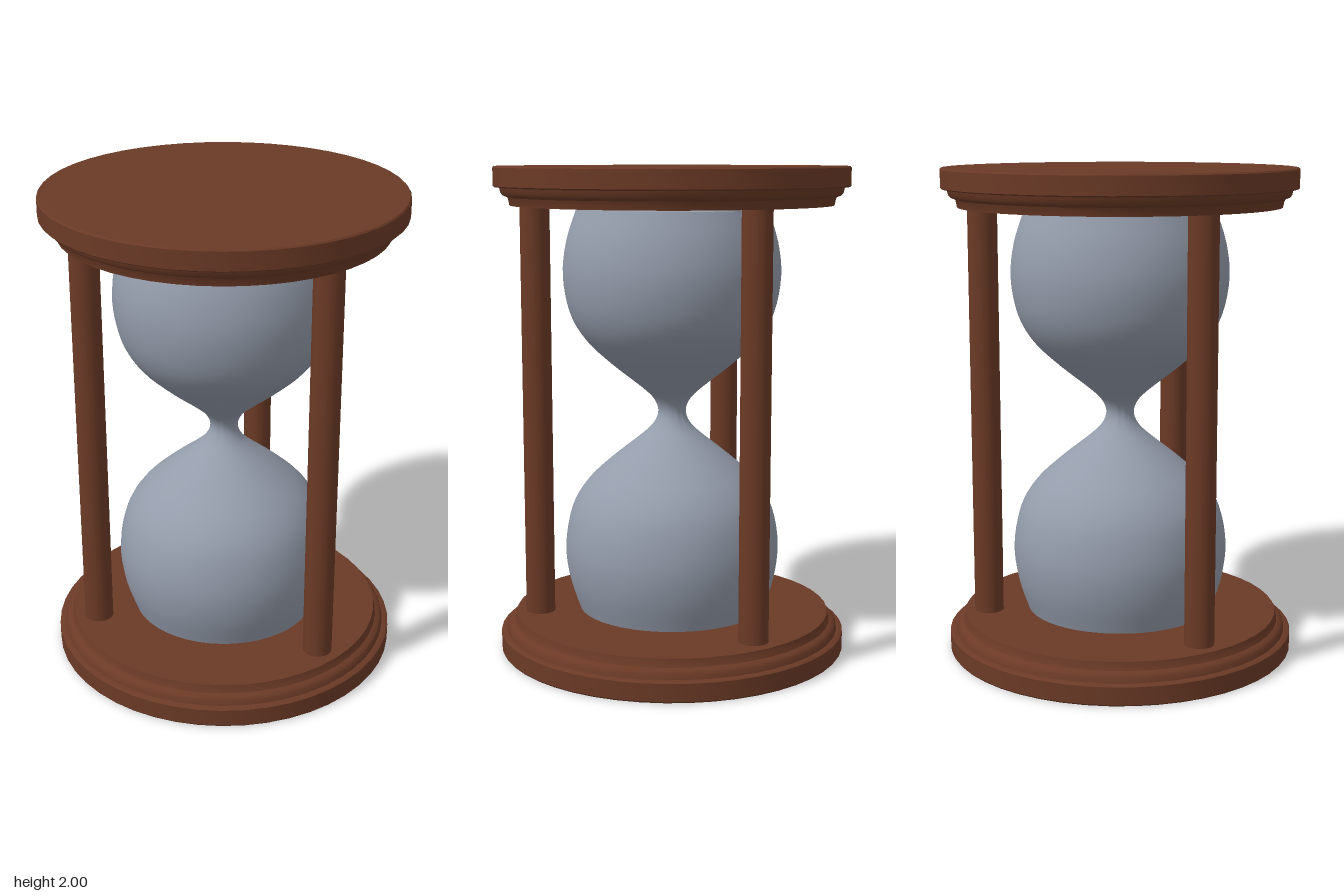
import * as THREE from 'three';
import { toCreasedNormals } from 'three/addons/utils/BufferGeometryUtils.js';

const wood = new THREE.MeshStandardMaterial({ color: 0x6b3a26 });
const glass = new THREE.MeshStandardMaterial({ color: 0x949cab });

const toPoints = (list) => list.map(([r, y]) => new THREE.Vector2(r, y));

export function createModel() {
  const model = new THREE.Group();
  model.name = 'hourglass';
  const add = (name, geometry, material) => {
    const mesh = new THREE.Mesh(geometry, material);
    mesh.name = name;
    model.add(mesh);
    return mesh;
  };

  // Round end plates with a stepped moulding on the inner side
  const plateProfile = toPoints([
    [0, 0], [0.715, 0], [0.72, 0.006], [0.72, 0.078], [0.715, 0.082], [0.695, 0.084],
    [0.69, 0.105], [0.682, 0.115], [0.664, 0.122], [0.66, 0.13], [0.655, 0.155], [0, 0.155],
  ]);
  const plate = toCreasedNormals(new THREE.LatheGeometry(plateProfile, 48), 0.6);
  add('basePlate', plate, wood);
  const top = add('topPlate', plate, wood);
  top.rotation.x = Math.PI;
  top.position.y = 2;

  // Three posts spaced evenly, one at the back
  for (let i = 0; i < 3; i++) {
    const angle = Math.PI + (i * 2 * Math.PI) / 3;
    const post = add('post', new THREE.CylinderGeometry(0.06, 0.06, 1.7, 24), wood);
    post.position.set(0.555 * Math.sin(angle), 1, 0.555 * Math.cos(angle));
  }

  // Glass: half profile from neck to crown, mirrored about mid height
  const half = [
    [0.075, 0.05], [0.125, 0.1], [0.25, 0.2], [0.355, 0.3],
    [0.418, 0.41], [0.445, 0.56], [0.43, 0.7], [0.388, 0.83],
  ];
  const side = [
    ...half.slice().reverse().map(([r, h]) => [r, 1 - h]),
    [0.057, 1],
    ...half.map(([r, h]) => [r, 1 + h]),
  ];
  const curve = new THREE.SplineCurve(toPoints(side));
  const outline = [
    ...toPoints([[0, 0.152], [0.28, 0.158]]),
    ...curve.getPoints(64),
    ...toPoints([[0.28, 1.842], [0, 1.848]]),
  ];
  add('glassBulbs', toCreasedNormals(new THREE.LatheGeometry(outline, 48), 0.7), glass);

  return model;
}
